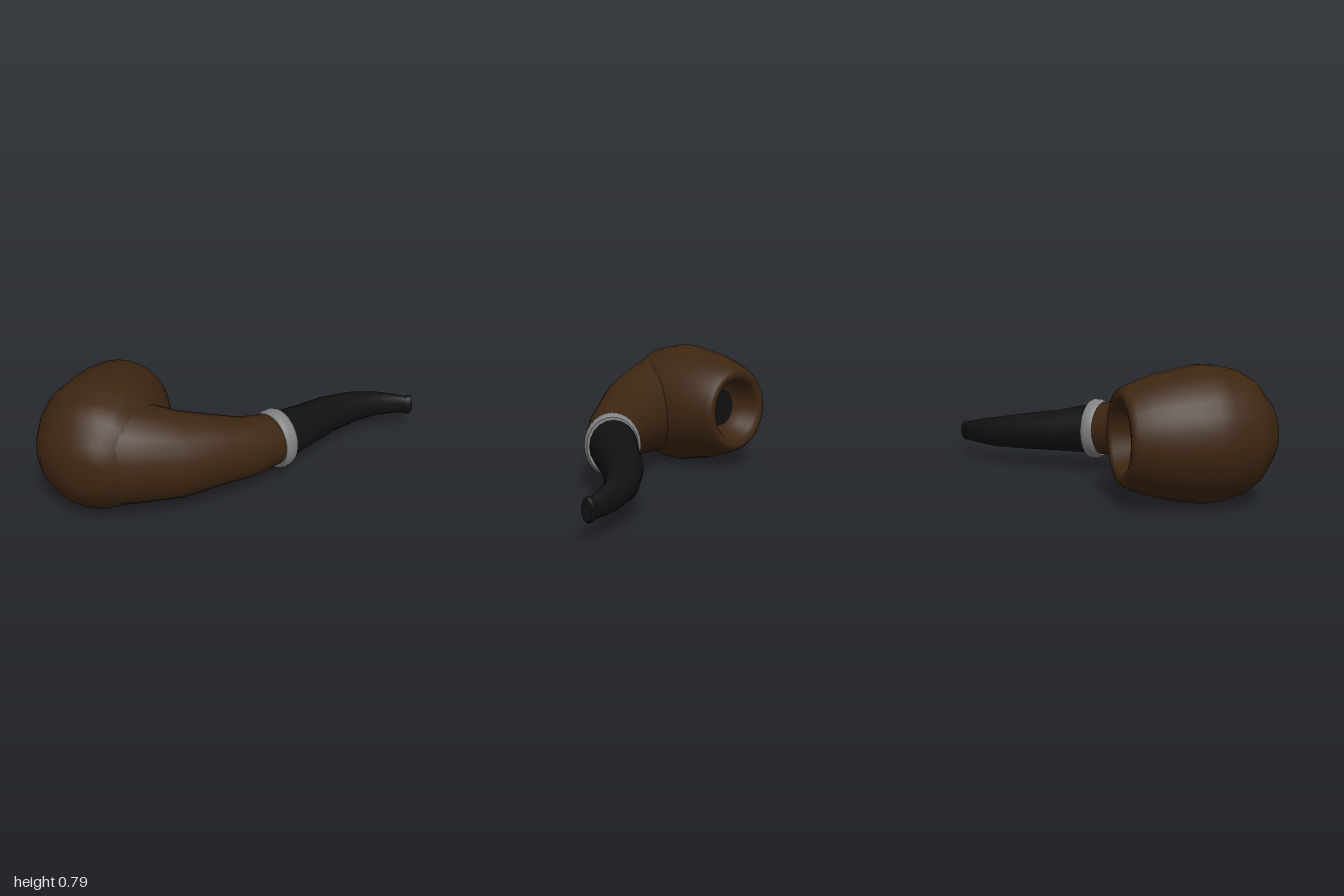
import * as THREE from 'three';

const wood = new THREE.MeshStandardMaterial({ color: 0x3d2611 });
wood.name = 'dark wood';
const silver = new THREE.MeshStandardMaterial({ color: 0x808080 });
silver.name = 'grey metal';
const black = new THREE.MeshStandardMaterial({ color: 0x111111 });
black.name = 'black';

// Capped loft through elliptical sections [x, y, z, halfWidth, halfHeight], kept upright
function loft(name, sections, material, sides = 20) {
  const pos = [], idx = [];
  const last = sections.length - 1;
  const addRing = (i, size = 1) => {
    const [x, y, z, w, h] = sections[i];
    const a = sections[Math.max(i - 1, 0)], b = sections[Math.min(i + 1, last)];
    const len = Math.hypot(b[0] - a[0], b[2] - a[2]);
    const tx = (b[0] - a[0]) / len, tz = (b[2] - a[2]) / len;
    for (let j = 0; j < sides; j++) {
      const t = (j / sides) * Math.PI * 2;
      const c = Math.cos(t) * w * size, s = Math.sin(t) * h * size;
      pos.push(x + tz * c, y + s, z - tx * c);
    }
  };
  // Cap rings are separate so that the end edges stay sharp
  const rings = [[0, 0], [0, 1], ...sections.map((_, i) => [i, 1]), [last, 1], [last, 0]];
  rings.forEach(([i, size]) => addRing(i, size));
  for (let r = 0; r < rings.length - 1; r++) {
    if (r === 1 || r === rings.length - 3) continue;
    for (let j = 0; j < sides; j++) {
      const a = r * sides + j, b = r * sides + ((j + 1) % sides);
      idx.push(a, b, a + sides, b, b + sides, a + sides);
    }
  }
  const g = new THREE.BufferGeometry();
  g.setAttribute('position', new THREE.Float32BufferAttribute(pos, 3));
  g.setIndex(idx);
  g.computeVertexNormals();
  const mesh = new THREE.Mesh(g, material);
  mesh.name = name;
  return mesh;
}

// Short band around a horizontal axis, from [offset, scale] steps
function band(name, [x, y, z], [dx, dz], w, h, steps, material) {
  return loft(name, steps.map(([o, k]) => [x + dx * o, y, z + dz * o, w * k, h * k]), material, 28);
}

export function createModel() {
  const model = new THREE.Group();

  // Bowl: turned around its own axis, opening to the back
  const bowl = new THREE.Group();
  bowl.name = 'bowl';
  const profile = [
    [0, -0.915], [0.1, -0.91], [0.19, -0.877], [0.307, -0.779], [0.36, -0.692],
    [0.392, -0.55], [0.396, -0.46], [0.379, -0.365], [0.35, -0.22], [0.319, -0.12],
    [0.285, -0.035], [0.265, -0.008], [0.245, 0], [0.215, -0.004], [0.2, -0.02],
    [0.165, -0.1], [0.125, -0.165], [0, -0.168],
  ].map(([r, h]) => new THREE.Vector2(r, h));
  const shell = new THREE.Mesh(new THREE.LatheGeometry(profile, 28), wood);
  shell.name = 'bowlShell';
  const floor = new THREE.Mesh(new THREE.CylinderGeometry(0.125, 0.125, 0.006, 28), black);
  floor.name = 'chamberFloor';
  floor.position.y = -0.162;
  bowl.add(shell, floor);
  bowl.position.set(-0.665, 0.4, 0.095);
  bowl.quaternion.setFromUnitVectors(
    new THREE.Vector3(0, 1, 0), new THREE.Vector3(-0.27, 0, -0.96).normalize());
  model.add(bowl);

  // Shank growing out of the bowl
  model.add(loft('shank', [
    [-0.47, 0.4, 0.66, 0.31, 0.35],
    [-0.3, 0.39, 0.6, 0.285, 0.315],
    [-0.09, 0.358, 0.475, 0.245, 0.265],
    [0.08, 0.33, 0.30, 0.2, 0.22],
    [0.205, 0.305, 0.165, 0.175, 0.19],
    [0.30, 0.285, -0.01, 0.155, 0.165],
  ], wood, 24));

  // Metal collar
  model.add(band('collar', [0.315, 0.28, -0.03], [0.42, -0.91], 0.172, 0.196,
    [[-0.046, 0.9], [-0.036, 0.96], [-0.016, 1], [0.016, 1], [0.036, 0.96], [0.046, 0.9]], silver));

  // Curved stem, thinning to the tip
  model.add(loft('stem', [
    [0.315, 0.28, -0.04, 0.147, 0.165],
    [0.345, 0.273, -0.12, 0.142, 0.155],
    [0.40, 0.255, -0.28, 0.13, 0.135],
    [0.48, 0.235, -0.50, 0.115, 0.12],
    [0.585, 0.212, -0.70, 0.092, 0.102],
    [0.70, 0.195, -0.83, 0.065, 0.085],
    [0.81, 0.178, -0.91, 0.042, 0.07],
    [0.89, 0.167, -0.95, 0.032, 0.06],
  ], black));

  // Bit button at the end of the stem
  model.add(band('bitButton', [0.895, 0.167, -0.957], [0.87, -0.48], 0.04, 0.068,
    [[-0.022, 0.86], [-0.012, 1], [0.012, 1], [0.022, 0.86]], black));

  return model;
}
